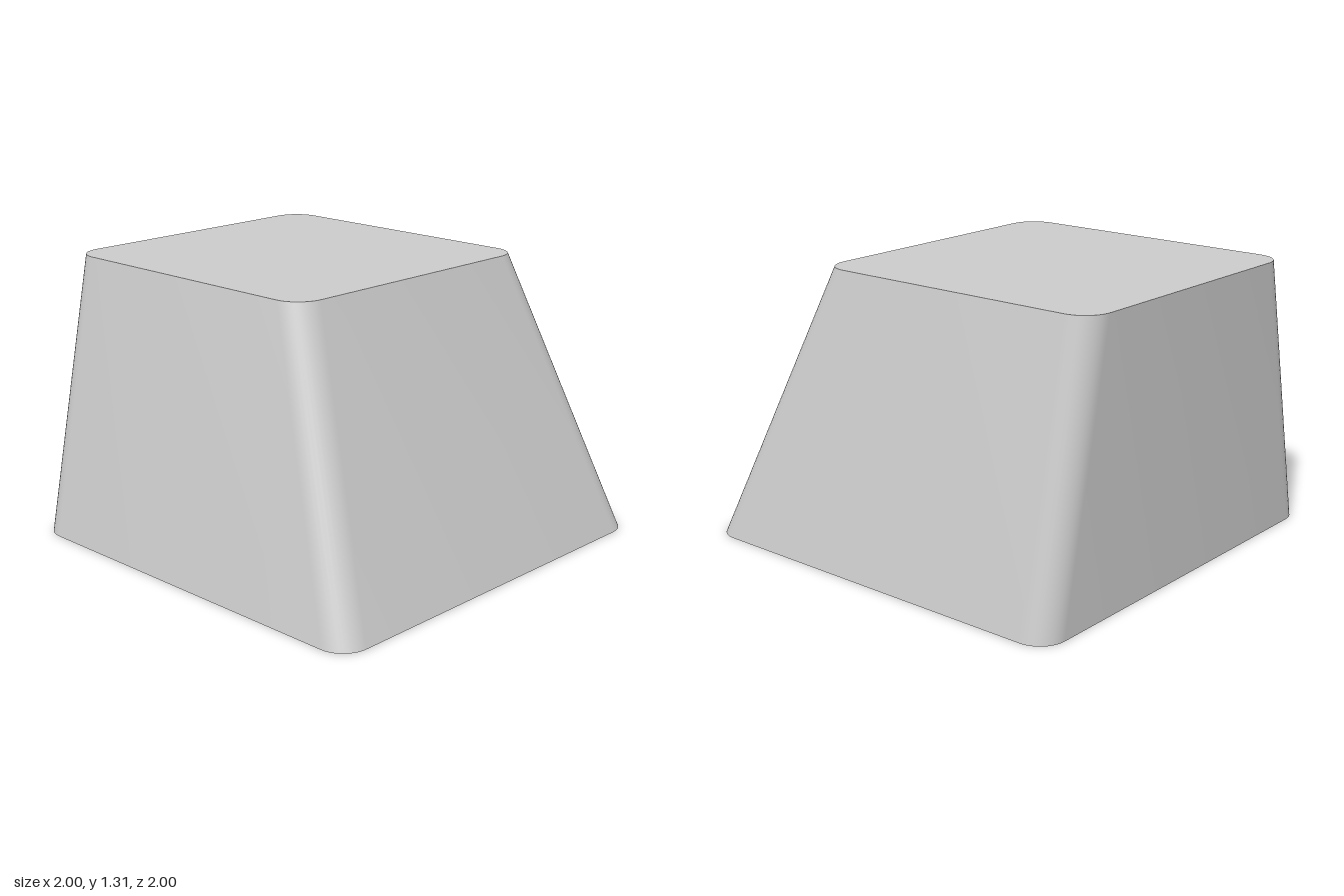
import * as THREE from 'three';
import { toCreasedNormals } from 'three/addons/utils/BufferGeometryUtils.js';

const material = new THREE.MeshStandardMaterial({ color: 0xcccccc });

// Rectangle outline in (x, z), with rounded corners when r > 0
function outline(halfX, back, front, r) {
  const steps = r > 0 ? 10 : 0;
  const corners = [[1, 1], [-1, 1], [-1, -1], [1, -1]];
  const points = [];
  corners.forEach(([sx, sz], c) => {
    const cx = sx * (halfX - r);
    const cz = sz > 0 ? front - r : back + r;
    for (let i = 0; i <= steps; i++) {
      const a = (c + (steps ? i / steps : 0)) * Math.PI / 2;
      points.push(new THREE.Vector2(cx + r * Math.cos(a), cz + r * Math.sin(a)));
    }
  });
  return points;
}

// Wall between two matching outlines, facing outward or inward
function loft(low, y0, high, y1, inward = false) {
  const pos = [];
  const n = low.length;
  for (let i = 0; i < n; i++) {
    const j = (i + 1) % n;
    const a = [low[i].x, y0, low[i].y], b = [low[j].x, y0, low[j].y];
    const c = [high[j].x, y1, high[j].y], d = [high[i].x, y1, high[i].y];
    pos.push(...(inward ? [a, b, c, a, c, d] : [a, c, b, a, d, c]).flat());
  }
  const g = new THREE.BufferGeometry();
  g.setAttribute('position', new THREE.Float32BufferAttribute(pos, 3));
  return toCreasedNormals(g, 0.35);
}

// Flat horizontal face at height y, facing up or down
function face(points, y, up, hole) {
  const shape = new THREE.Shape(points.map(p => new THREE.Vector2(p.x, up ? -p.y : p.y)));
  if (hole) shape.holes.push(new THREE.Path(hole));
  return new THREE.ShapeGeometry(shape).rotateX(up ? -Math.PI / 2 : Math.PI / 2).translate(0, y, 0);
}

export function createModel() {
  const group = new THREE.Group();
  const add = (name, geometry) => {
    const mesh = new THREE.Mesh(geometry, material);
    mesh.name = name;
    group.add(mesh);
  };

  // Outer shell: upright back, sloping sides and front
  const height = 1.31;
  const base = outline(1, -1, 1, 0.13);
  const top = outline(0.73, -1, 0.485, 0.13);
  add('outerWalls', loft(base, 0, top, height));
  add('topFace', face(top, height, true));

  // Hollow underside with sharp corners, parallel to the outer walls
  const ceilingY = 0.72;
  const mouth = outline(0.86, -0.86, 0.86, 0);
  const ceiling = outline(0.71, -0.86, 0.58, 0);
  add('bottomRim', face(base, 0, false, mouth));
  add('innerWalls', loft(mouth, 0, ceiling, ceilingY, true));
  add('ceiling', face(ceiling, ceilingY, false));

  // Round mounting stem with a cross-shaped socket
  const stemBottom = 0.13, L = 0.23, w = 0.07;
  const stemShape = new THREE.Shape().absarc(0, 0, 0.31, 0, Math.PI * 2);
  stemShape.holes.push(new THREE.Path([
    [L, -w], [L, w], [w, w], [w, L], [-w, L], [-w, w],
    [-L, w], [-L, -w], [-w, -w], [-w, -L], [w, -L], [w, -w],
  ].map(([x, y]) => new THREE.Vector2(x, y))));
  const stem = new THREE.ExtrudeGeometry(stemShape, {
    depth: ceilingY - stemBottom, bevelEnabled: false, curveSegments: 32,
  }).rotateX(-Math.PI / 2).translate(0, stemBottom, 0);
  add('stem', toCreasedNormals(stem, 0.5));

  return group;
}
